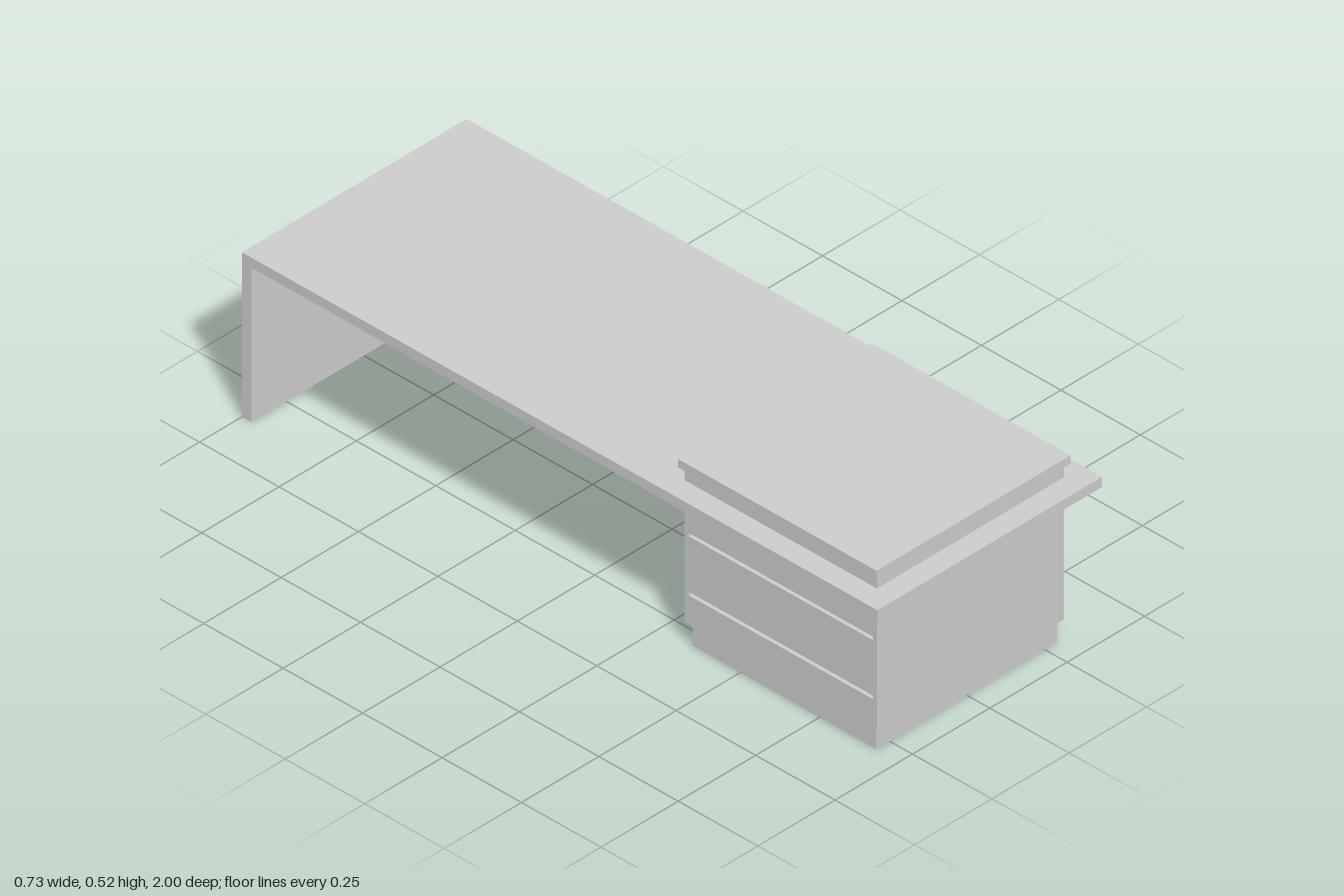
import * as THREE from 'three';

const material = new THREE.MeshStandardMaterial({ color: 0xcccccc, flatShading: true });

// Box given by its extents on each axis
function slab(parent, name, [x0, x1], [y0, y1], [z0, z1]) {
  const mesh = new THREE.Mesh(new THREE.BoxGeometry(x1 - x0, y1 - y0, z1 - z0), material);
  mesh.position.set((x0 + x1) / 2, (y0 + y1) / 2, (z0 + z1) / 2);
  mesh.name = name;
  parent.add(mesh);
  return mesh;
}

export function createModel() {
  const desk = new THREE.Group();
  desk.name = 'desk';

  // Long worktop and the panel that carries its far end
  slab(desk, 'worktop', [-0.363, 0.363], [0.427, 0.455], [-1, 1]);
  slab(desk, 'endPanel', [-0.363, 0.363], [0, 0.427], [-1, -0.97]);

  // Drawer pedestal that rises through the worktop
  const pedestal = new THREE.Group();
  pedestal.name = 'pedestal';
  desk.add(pedestal);
  const bottom = 0.063, top = 0.492, back = 0.335, front = 0.94, side = 0.012;

  slab(pedestal, 'plinth', [-0.293, 0.291], [0, bottom], [0.35, 0.928]);
  slab(pedestal, 'core', [-0.29, 0.284], [bottom, top], [back + side, front - side]);
  slab(pedestal, 'backSidePanel', [-0.303, 0.288], [bottom, top], [back, back + side]);
  slab(pedestal, 'frontSidePanel', [-0.303, 0.288], [bottom, top], [front - side, front]);

  // Closing panel with a fine shadow gap
  slab(pedestal, 'closingPanel', [0.291, 0.302], [bottom, top], [back, front]);
  slab(pedestal, 'panelSpacer', [0.28, 0.292], [bottom, top], [back + 0.005, front - 0.005]);

  // Drawer fronts separated by finger grooves
  const drawers = [[bottom, 0.143], [0.153, 0.306], [0.316, top]];
  drawers.forEach((y, i) =>
    slab(pedestal, `drawerFront${i + 1}`, [-0.303, -0.289], y, [back + side, front - side]));

  // Raised cap with an almost flush inlay
  slab(pedestal, 'cap', [-0.315, 0.313], [top, 0.515], [0.325, 0.95]);
  slab(pedestal, 'capInlay', [-0.2, 0.075], [0.5, 0.5155], [0.375, 0.83]);

  return desk;
}
